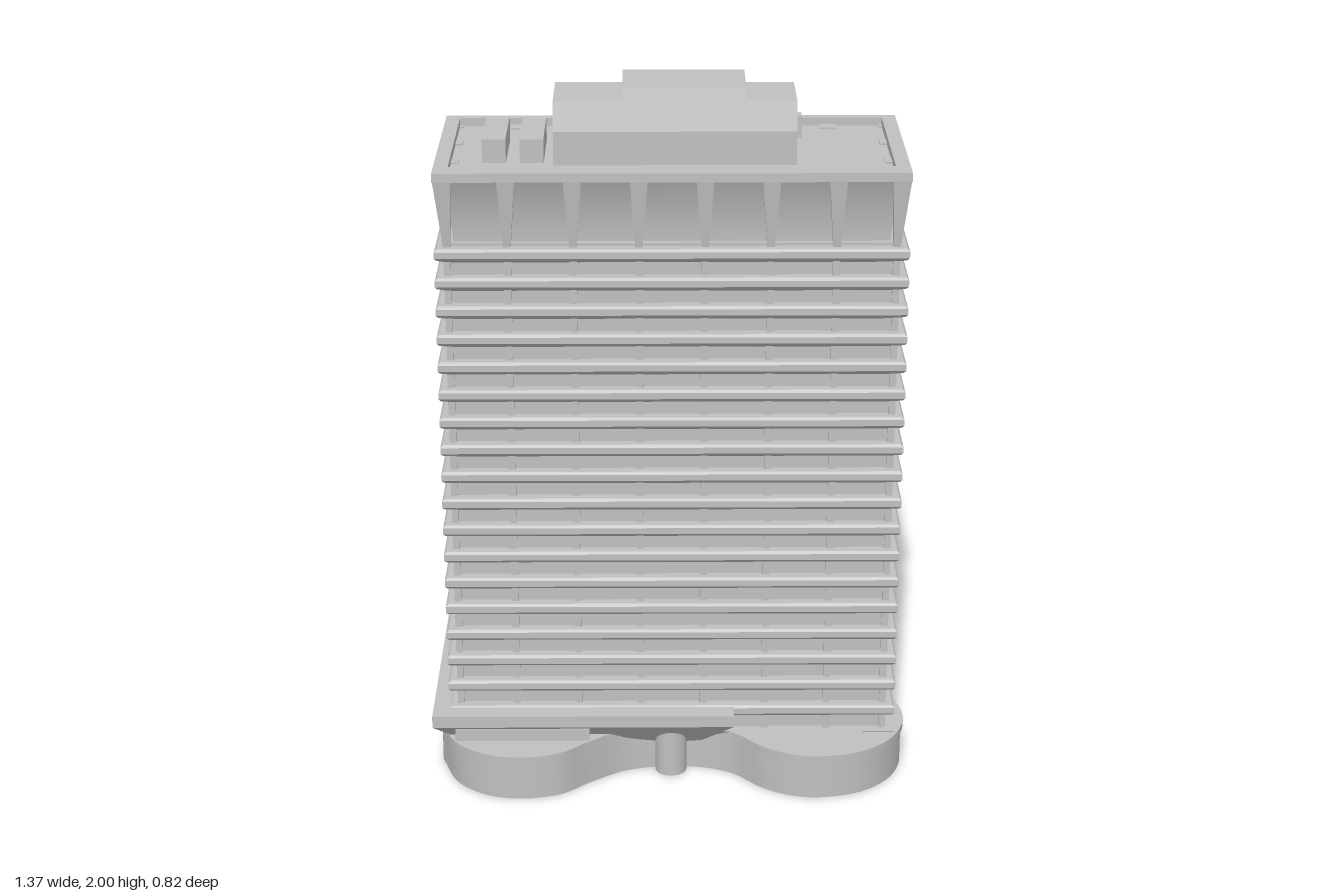
import * as THREE from 'three';
import { mergeGeometries, toCreasedNormals } from 'three/addons/utils/BufferGeometryUtils.js';

const concrete = new THREE.MeshStandardMaterial({ color: 0xc0c0c0 });
concrete.name = 'concrete grey';

// Tower plan limits: x0, x1, z0, z1
const PLAN = [-0.64, 0.645, -0.33, 0.255];
const inset = (d, y, r = PLAN) => [r[0] + d, r[1] - d, r[2] + d, r[3] - d, y];

// Four-sided loft through rectangles [x0, x1, z0, z1, y], listed from bottom to top.
function loft(rings, { smooth = false, caps = true } = {}) {
  const corners = ([x0, x1, z0, z1, y]) => [[x0, y, z1], [x1, y, z1], [x1, y, z0], [x0, y, z0]];
  const parts = [];
  const add = (pos, idx) => {
    let g = new THREE.BufferGeometry();
    g.setAttribute('position', new THREE.Float32BufferAttribute(pos.flat(), 3));
    g.setIndex(idx);
    if (!smooth) g = g.toNonIndexed();
    g.computeVertexNormals();
    parts.push(smooth ? g.toNonIndexed() : g);
  };
  for (let s = 0; s < 4; s++) {
    const pos = [], idx = [];
    rings.forEach((r, i) => {
      const c = corners(r);
      pos.push(c[s], c[(s + 1) % 4]);
      const a = i * 2;
      if (i < rings.length - 1) idx.push(a, a + 1, a + 3, a, a + 3, a + 2);
    });
    add(pos, idx);
  }
  if (caps) {
    add(corners(rings[0]), [0, 2, 1, 0, 3, 2]);
    add(corners(rings[rings.length - 1]), [0, 1, 2, 0, 2, 3]);
  }
  return mergeGeometries(parts);
}

const block = (x0, x1, y0, y1, z0, z1) => loft([[x0, x1, z0, z1, y0], [x0, x1, z0, z1, y1]]);

// Extrude a (z, y) profile along x
function alongX(profile, x0, x1) {
  const shape = new THREE.Shape(profile.map(([z, y]) => new THREE.Vector2(-z, y)));
  return new THREE.ExtrudeGeometry(shape, { depth: x1 - x0, bevelEnabled: false })
    .rotateY(Math.PI / 2).translate(x0, 0, 0);
}

// Wavy podium outline (x, z), closed by the straight left end
const OUTLINE = [
  [-0.675, 0.17], [-0.62, 0.31], [-0.53, 0.385], [-0.43, 0.405], [-0.32, 0.38], [-0.235, 0.31],
  [-0.13, 0.24], [0, 0.215], [0.1, 0.225], [0.18, 0.26], [0.27, 0.35], [0.35, 0.392],
  [0.43, 0.402], [0.55, 0.37], [0.64, 0.285], [0.68, 0.16], [0.645, 0], [0.605, -0.12],
  [0.595, -0.22], [0.53, -0.33], [0.42, -0.4], [0.32, -0.408], [0.18, -0.345], [0.1, -0.29],
  [0, -0.275], [-0.12, -0.31], [-0.24, -0.382], [-0.35, -0.41], [-0.47, -0.382],
  [-0.56, -0.36], [-0.675, -0.36],
];
function podium(scale, y0, y1) {
  const curve = new THREE.CatmullRomCurve3(OUTLINE.map(([x, z]) => new THREE.Vector3(x * scale, 0, z * scale)));
  const shape = new THREE.Shape(curve.getPoints(180).map((p) => new THREE.Vector2(p.x, -p.z)));
  const g = new THREE.ExtrudeGeometry(shape, { depth: y1 - y0, bevelEnabled: false })
    .rotateX(-Math.PI / 2).translate(0, y0, 0);
  return toCreasedNormals(g, 0.6);
}

export function createModel() {
  const model = new THREE.Group();
  model.name = 'officeTower';
  const add = (name, geometry, parent = model) => {
    const mesh = new THREE.Mesh(geometry, concrete);
    mesh.name = name;
    parent.add(mesh);
    return mesh;
  };
  const group = (name) => {
    const g = new THREE.Group();
    g.name = name;
    model.add(g);
    return g;
  };

  // Podium with a slightly projecting top rim
  const base = group('podium');
  add('podiumWall', podium(0.99, 0, 0.118), base);
  add('podiumRim', podium(1, 0.115, 0.135), base);

  // Terrace slab and sloping soffits
  const slab = [-0.685, 0.18, -0.38, 0.31];
  add('terraceSlab', loft([inset(0.12, 0.06, slab), inset(0, 0.18, slab), inset(0, 0.215, slab)]), base);
  add('towerSoffit', loft([inset(0.08, 0.06), inset(0, 0.136)]), base);
  add('frontTerraceWall', block(-0.62, -0.235, 0.13, 0.172, 0.2, 0.306), base);
  add('backTerraceWall', block(-0.47, -0.24, 0.13, 0.172, -0.376, -0.27), base);
  for (const z of [0.225, -0.285]) {
    add('entranceColumn', new THREE.CylinderGeometry(0.045, 0.045, 0.15, 32).translate(0, 0.075, z), base);
  }

  // Tower core and rounded floor edges with sloping undersides
  add('towerCore', loft([inset(0.035, 0.13), inset(0.035, 1.61)]));
  const floors = group('floors');
  for (let k = 0; k < 18; k++) {
    const y = 1.585 - k * 0.0813;
    add('floorEdge', loft([
      inset(0.035, y - 0.03), inset(0.006, y - 0.016), inset(0, y - 0.009),
      inset(0, y + 0.009), inset(0.006, y + 0.016), inset(0.035, y + 0.016),
    ], { caps: false }), floors);
  }

  // Columns on the faces, flaring into fins at the crown
  const columns = group('columns');
  const [x0, x1, z0, z1] = PLAN;
  const xs = [-2.5, -1.5, -0.5, 0.5, 1.5, 2.5].map((i) => 0.0025 + i * 0.1785);
  const zs = [-0.128, 0.058];
  const out = 0.024, deep = 0.06, low = 1.6, high = 1.795;
  const crownFin = (a, b) => add('crownFin', loft([[...a, low], [...b, high]]), columns);
  for (const x of xs) {
    const w = 0.01, t = 0.024;
    add('column', block(x - w, x + w, 0.13, low, z1 - deep, z1 - out), columns);
    add('column', block(x - w, x + w, 0.13, low, z0 + out, z0 + deep), columns);
    crownFin([x - w, x + w, z1 - deep, z1 - out], [x - t, x + t, z1 - deep, z1 - 0.001]);
    crownFin([x - w, x + w, z0 + out, z0 + deep], [x - t, x + t, z0 + 0.001, z0 + deep]);
  }
  for (const z of zs) {
    const w = 0.01, t = 0.024;
    add('column', block(x1 - deep, x1 - out, 0.13, low, z - w, z + w), columns);
    add('column', block(x0 + out, x0 + deep, 0.13, low, z - w, z + w), columns);
    crownFin([x1 - deep, x1 - out, z - w, z + w], [x1 - deep, x1 - 0.001, z - t, z + t]);
    crownFin([x0 + out, x0 + deep, z - w, z + w], [x0 + 0.001, x0 + deep, z - t, z + t]);
  }
  for (const sx of [-1, 1]) for (const sz of [-1, 1]) {
    const corner = (o, d) => {
      const X = sx < 0 ? [x0 + o, x0 + d] : [x1 - d, x1 - o];
      const Z = sz < 0 ? [z0 + o, z0 + d] : [z1 - d, z1 - o];
      return [...X, ...Z];
    };
    const c = corner(out, 0.043);
    add('cornerColumn', block(c[0], c[1], 0.13, low, c[2], c[3]), columns);
    crownFin(c, corner(0.001, 0.05));
  }

  // Crown: coved panels between the fins, then the parapet and recessed roof
  const cove = [];
  for (let i = 0; i <= 10; i++) {
    const t = i / 10;
    cove.push(inset(0.05 - 0.046 * t * t, low + (high - low) * t));
  }
  const crown = group('crown');
  add('crownPanels', loft(cove, { smooth: true, caps: false }), crown);
  const inner = [-0.6, 0.605, -0.305, 0.19];
  const rect = ([a, b, c, d], T) => new T([[a, -d], [b, -d], [b, -c], [a, -c]].map((p) => new THREE.Vector2(...p)));
  const rim = rect(PLAN, THREE.Shape);
  rim.holes.push(rect(inner, THREE.Path));
  add('parapet', new THREE.ExtrudeGeometry(rim, { depth: 0.025, bevelEnabled: false })
    .rotateX(-Math.PI / 2).translate(0, 1.79, 0), crown);
  add('roofDeck', block(-0.61, 0.615, 1.765, 1.791, -0.31, 0.2), crown);

  // Rooftop plant house with sloping front and back ledge
  const roof = group('rooftop');
  add('plantHouse', alongX([
    [0.095, 1.785], [0.095, 1.885], [0.07, 1.965], [-0.13, 1.965],
    [-0.13, 1.89], [-0.178, 1.862], [-0.178, 1.785],
  ], -0.32, 0.343), roof);
  add('plantHouseTop', alongX([
    [0.09, 1.9], [0.06, 2], [-0.131, 2], [-0.131, 1.9],
  ], -0.132, 0.205), roof);
  add('roofUnit', block(-0.515, -0.45, 1.785, 1.858, -0.162, 0.072), roof);
  add('roofUnit', block(-0.412, -0.347, 1.785, 1.858, -0.162, 0.072), roof);
  add('roofVent', block(0.293, 0.37, 1.785, 1.854, -0.22, -0.176), roof);

  return model;
}
